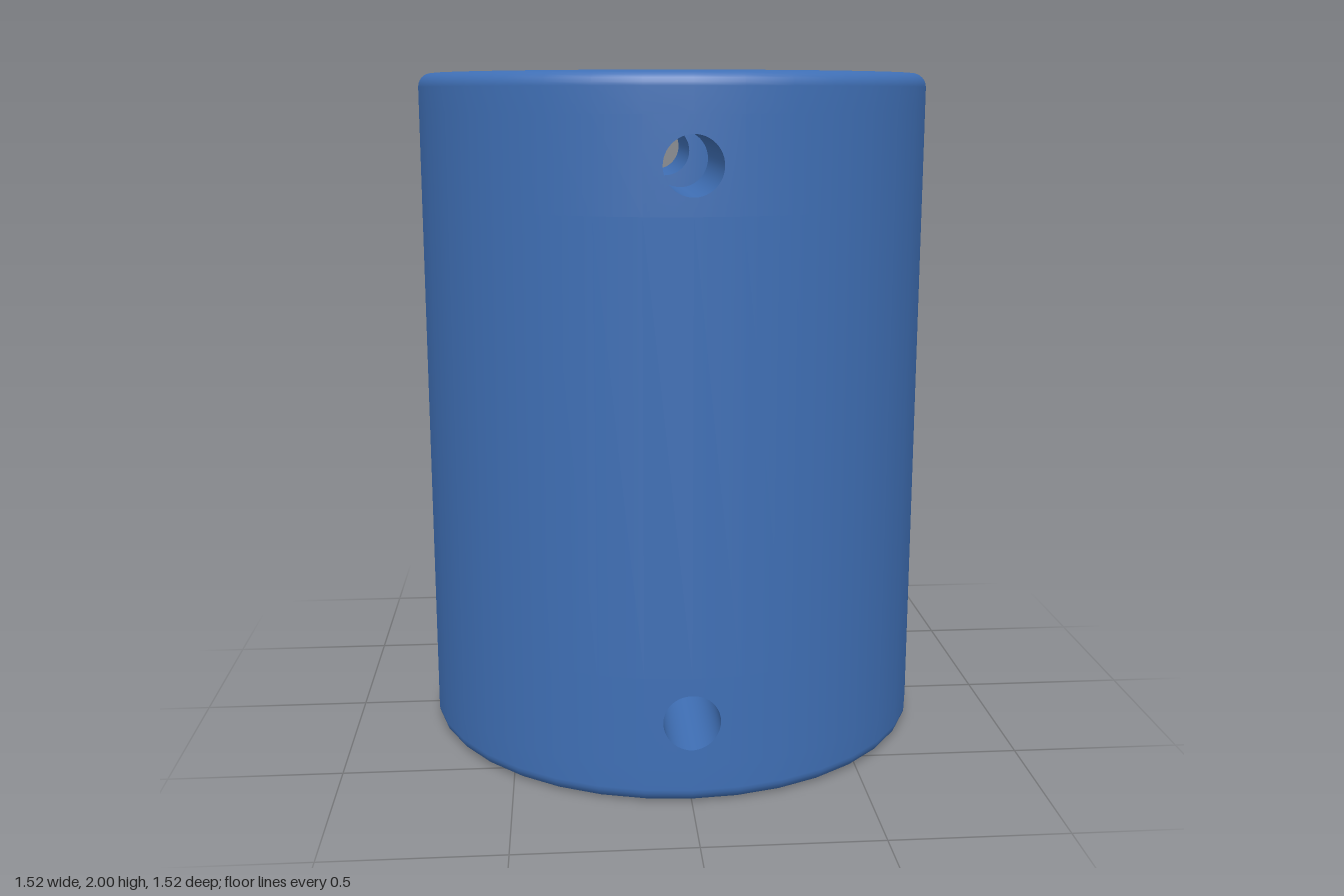
import * as THREE from 'three';
import { ParametricGeometry } from 'three/addons/geometries/ParametricGeometry.js';

const OUTER = { r: 0.76, n: 36, k: 1 };     // radius, sides, sides skipped each way round a hole
const WIDE_BORE = { r: 0.32, n: 24, k: 2 };
const NARROW_BORE = { r: 0.2, n: 20, k: 2 };
const HEIGHT = 2, STEP_Y = 1, FILLET = 0.04;
const HOLE_R = 0.08, HOLE_YS = [0.24, 1.76], BAND = 0.13;

const material = new THREE.MeshStandardMaterial({ color: 0x3f6fb5 });

// Depth of a faceted wall at a given x
function wallZ(wall, x) {
  const s = (2 * Math.PI) / wall.n;
  const a = Math.asin(Math.min(Math.abs(x) / wall.r, 1));
  const mid = (Math.floor(a / s + 1e-6) + 0.5) * s;
  return (wall.r * Math.cos(s / 2) - Math.abs(x) * Math.sin(mid)) / Math.cos(mid);
}

function add(group, name, geometry) {
  const mesh = new THREE.Mesh(geometry, material);
  mesh.name = name;
  group.add(mesh);
  return mesh;
}

function lathe(group, name, points, n, start = 0, length = 2 * Math.PI) {
  const profile = points.map(([x, y]) => new THREE.Vector2(x, y));
  return add(group, name, new THREE.LatheGeometry(profile, n, start, length));
}

// Square piece of wall with a round hole in it; side is 1 facing out, -1 facing in
function holedPatch(wall, y, side) {
  const w = wall.r * Math.sin((2 * Math.PI * wall.k) / wall.n);
  const geometry = new ParametricGeometry((u, v, p) => {
    const t = -side * 2 * Math.PI * u;
    const c = Math.cos(t), s = Math.sin(t);
    const m = Math.max(Math.abs(c), Math.abs(s));
    const x = THREE.MathUtils.lerp(HOLE_R * c, (w * c) / m, v);
    const dy = THREE.MathUtils.lerp(HOLE_R * s, (BAND * s) / m, v);
    p.set(x, y + dy, wallZ(wall, x));
  }, 48, 4);
  // Smooth round normals
  const pos = geometry.attributes.position, nor = geometry.attributes.normal;
  for (let i = 0; i < pos.count; i++) {
    const x = pos.getX(i), z = pos.getZ(i), l = side * Math.hypot(x, z);
    nor.setXYZ(i, x / l, 0, z / l);
  }
  return geometry;
}

// Lining of a screw hole from the outer wall to the bore
function holeLining(bore, y) {
  return new ParametricGeometry((u, v, p) => {
    const t = -2 * Math.PI * u;
    const x = HOLE_R * Math.cos(t);
    p.set(x, y + HOLE_R * Math.sin(t),
      THREE.MathUtils.lerp(wallZ(bore, x), wallZ(OUTER, x), v));
  }, 48, 1);
}

// Wall beside the two opposite holes at height y
function bandWall(group, name, wall, y, side) {
  const gap = (2 * Math.PI * wall.k) / wall.n;
  const points = [[wall.r, y - side * BAND], [wall.r, y + side * BAND]];
  for (const start of [gap, Math.PI + gap]) {
    lathe(group, name, points, wall.n / 2 - 2 * wall.k, start, Math.PI - 2 * gap);
  }
}

export function createModel() {
  const model = new THREE.Group();
  model.name = 'shaftCoupling';
  const [lowY, highY] = HOLE_YS;

  // Outer wall with rounded rims
  const bottomRim = [], topRim = [];
  for (let i = 0; i <= 6; i++) {
    const a = (i / 6) * Math.PI / 2;
    const x = OUTER.r - FILLET + FILLET * Math.sin(a), y = FILLET * (1 - Math.cos(a));
    bottomRim.push([x, y]);
    topRim.unshift([x, HEIGHT - y]);
  }
  lathe(model, 'bottomRim', [...bottomRim, [OUTER.r, lowY - BAND]], OUTER.n);
  lathe(model, 'outerWall', [[OUTER.r, lowY + BAND], [OUTER.r, highY - BAND]], OUTER.n);
  lathe(model, 'topRim', [[OUTER.r, highY + BAND], ...topRim], OUTER.n);

  // Flat end faces and the step between the bores
  const ring = (name, inner, outer, nIn, nOut, y, up) => {
    const shape = new THREE.Shape();
    const circle = (r, n) => Array.from({ length: n }, (_, i) => {
      const a = (2 * Math.PI * i) / n;
      return new THREE.Vector2(r * Math.cos(a), r * Math.sin(a));
    });
    shape.setFromPoints(circle(outer, nOut));
    shape.holes.push(new THREE.Path(circle(inner, nIn)));
    const mesh = add(model, name, new THREE.ShapeGeometry(shape));
    mesh.rotation.x = up ? -Math.PI / 2 : Math.PI / 2;
    mesh.position.y = y;
  };
  const rimR = OUTER.r - FILLET;
  ring('topFace', WIDE_BORE.r, rimR, WIDE_BORE.n, OUTER.n, HEIGHT, true);
  ring('bottomFace', NARROW_BORE.r, rimR, NARROW_BORE.n, OUTER.n, 0, false);
  ring('boreStep', NARROW_BORE.r, WIDE_BORE.r, NARROW_BORE.n, WIDE_BORE.n, STEP_Y, true);

  // Bores: wide above the step, narrow below it
  for (const [name, bore, y, y0, y1] of [
    ['narrowBore', NARROW_BORE, lowY, 0, STEP_Y],
    ['wideBore', WIDE_BORE, highY, STEP_Y, HEIGHT],
  ]) {
    lathe(model, name, [[bore.r, y1], [bore.r, y + BAND]], bore.n);
    lathe(model, name, [[bore.r, y - BAND], [bore.r, y0]], bore.n);
    bandWall(model, name, bore, y, -1);
    bandWall(model, 'outerWall', OUTER, y, 1);

    // Screw holes on the front and the back
    for (const turn of [0, Math.PI]) {
      const hole = new THREE.Group();
      hole.name = 'screwHole';
      add(hole, 'outerHoleEdge', holedPatch(OUTER, y, 1));
      add(hole, 'boreHoleEdge', holedPatch(bore, y, -1));
      add(hole, 'holeLining', holeLining(bore, y));
      hole.rotation.y = turn;
      model.add(hole);
    }
  }
  return model;
}
